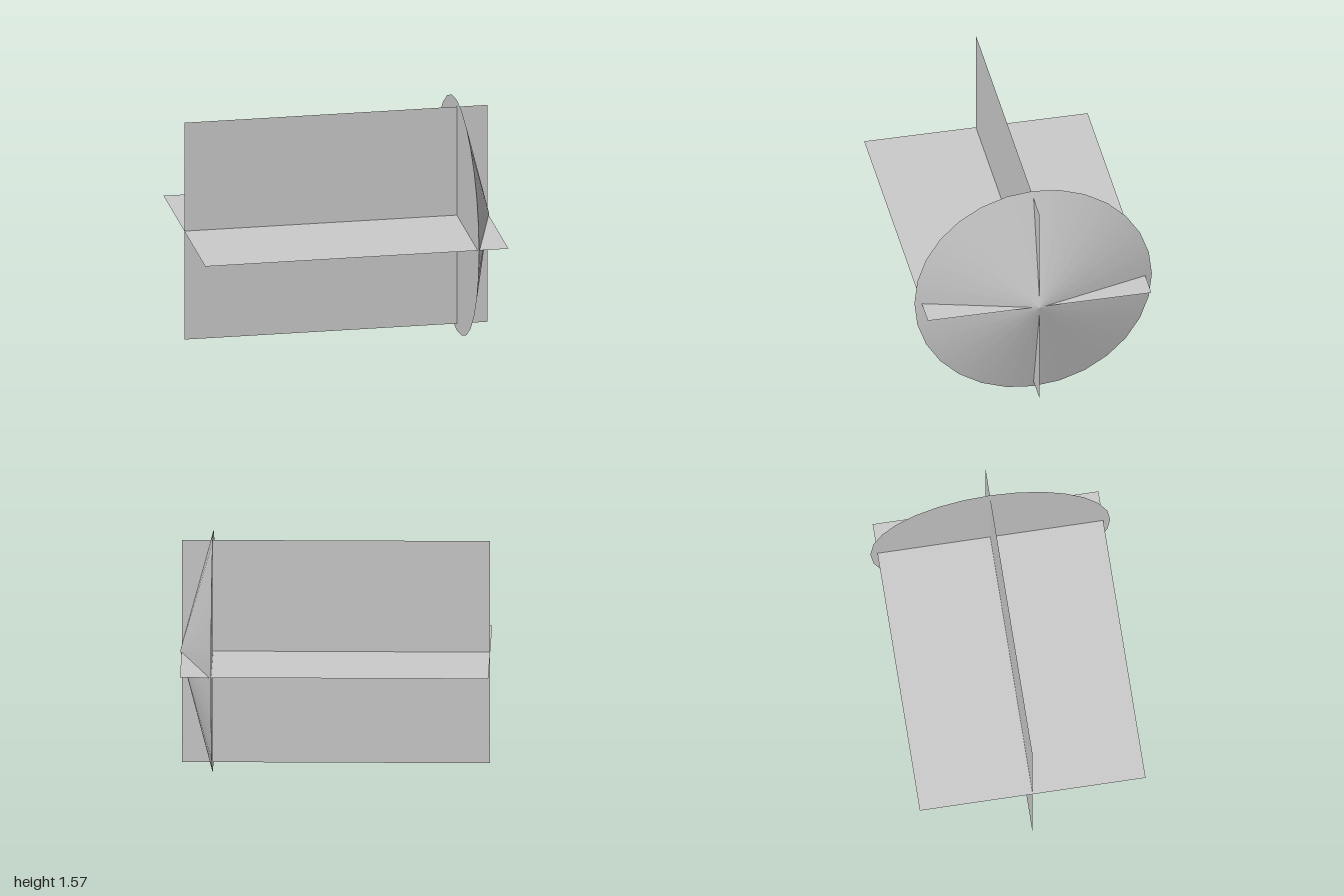
import * as THREE from 'three';

export function createModel() {
  const model = new THREE.Group();
  const grey = new THREE.MeshStandardMaterial({ color: 0xcccccc });
  const thin = new THREE.MeshStandardMaterial({ color: 0xcccccc, side: THREE.DoubleSide });
  const radius = 0.783, finLength = 1.99, finWidth = 1.474;

  // two thin sheets crossing along the long axis
  for (const [name, tilt] of [['verticalFin', 0], ['horizontalFin', -Math.PI / 2]]) {
    const fin = new THREE.Mesh(new THREE.PlaneGeometry(finLength, finWidth), thin);
    fin.name = name;
    fin.rotation.x = tilt;
    fin.position.set(-1 + finLength / 2, radius, 0);
    model.add(fin);
  }

  // shallow closed cone pointing along +x, pierced by the fins
  const height = 0.212;
  const cone = new THREE.Mesh(new THREE.ConeGeometry(radius, height, 28), grey);
  cone.name = 'noseCone';
  cone.rotation.z = -Math.PI / 2;
  cone.position.set(1 - height / 2, radius, 0);
  model.add(cone);

  return model;
}
